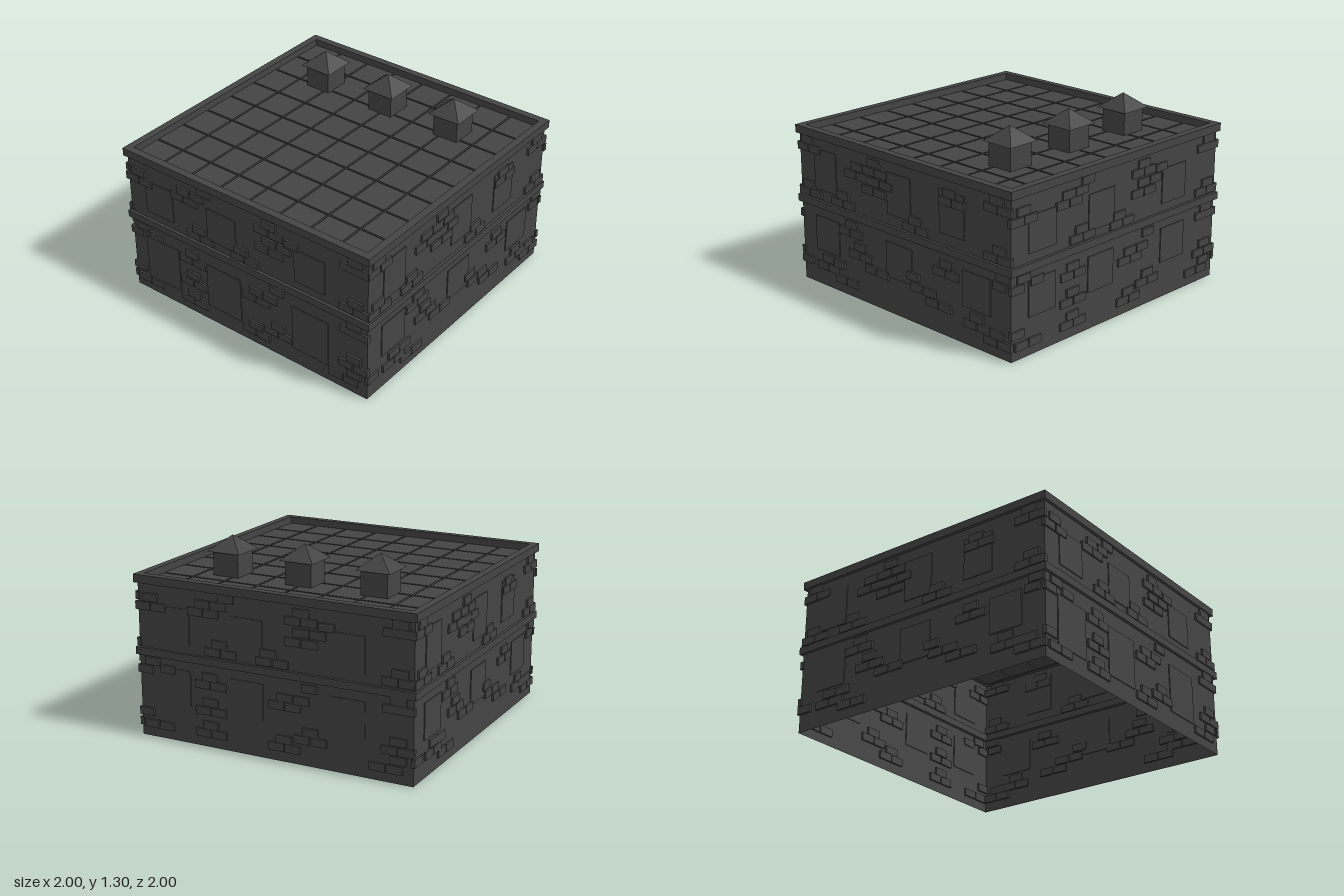
import * as THREE from 'three';

const DARK = new THREE.MeshStandardMaterial({ color: 0x444444, flatShading: true });
const SHEET = new THREE.MeshStandardMaterial({ color: 0x444444, flatShading: true, side: THREE.DoubleSide });

const WALL = 0.98, BRICK_W = 0.11, BRICK_H = 0.053, PITCH = 0.117;

// Brick courses: [centre of first brick, height, number of bricks]
const LONG_COURSES = [
  [-0.315, 1.005, 1], [-0.49, 0.95, 2], [-0.545, 0.895, 2],
  [0.22, 0.985, 1], [0.16, 0.93, 2], [0.22, 0.86, 2], [0.395, 0.92, 1], [0.16, 0.795, 2],
  [-0.885, 0.945, 1], [-0.94, 0.885, 2], [0.89, 1.005, 1], [0.83, 0.95, 2],
  [-0.37, 0.7, 1], [-0.42, 0.645, 2], [-0.015, 0.695, 1], [-0.045, 0.64, 2],
  [0.89, 0.7, 1], [0.82, 0.645, 2],
  [-0.88, 0.52, 1], [-0.765, 0.48, 1], [-0.935, 0.46, 1],
  [-0.445, 0.475, 1], [-0.5, 0.42, 2], [-0.445, 0.305, 1], [-0.5, 0.245, 2],
  [0.275, 0.51, 1], [0.1, 0.425, 2], [0.04, 0.37, 2],
  [0.28, 0.225, 1], [0.22, 0.17, 2], [-0.935, 0.17, 1], [-0.9, 0.09, 2],
  [-0.445, 0.15, 1], [-0.5, 0.095, 2], [0.09, 0.15, 1], [0.035, 0.095, 2],
  [0.88, 0.53, 1], [0.83, 0.475, 2], [0.88, 0.27, 1], [0.82, 0.21, 2], [0.88, 0.15, 1], [0.74, 0.09, 2],
];
const SIDE_COURSES = [
  [-0.89, 1.005, 1], [-0.935, 0.95, 2], [-0.23, 0.985, 1], [-0.395, 0.925, 3],
  [-0.455, 0.865, 2], [-0.23, 0.86, 2], [-0.29, 0.795, 2],
  [0.87, 1.005, 1], [0.82, 0.95, 2], [0.465, 0.95, 1], [0.43, 0.895, 2],
  [-0.89, 0.695, 1], [-0.935, 0.64, 2], [-0.545, 0.695, 1], [-0.6, 0.64, 2],
  [0.155, 0.695, 1], [0.1, 0.64, 2], [0.89, 0.695, 1], [0.82, 0.64, 2],
  [-0.465, 0.51, 1], [-0.535, 0.455, 2], [-0.385, 0.375, 1], [-0.44, 0.315, 2], [-0.28, 0.25, 2],
  [0.43, 0.48, 1], [0.37, 0.42, 2], [0.125, 0.315, 1], [0.16, 0.25, 2], [0.3, 0.19, 2],
  [-0.715, 0.205, 1], [-0.6, 0.2, 1], [-0.775, 0.145, 2], [-0.935, 0.15, 1], [-0.585, 0.095, 2],
  [0.695, 0.205, 1], [0.64, 0.15, 2], [0.87, 0.15, 1], [0.815, 0.095, 2],
  [0.92, 0.53, 1], [0.89, 0.47, 1],
];

// Panels: [centre, height, width, tallness]
const FRONT_PANELS = [-0.715, -0.18, 0.535].flatMap((u) => [[u, 0.285, 0.288, 0.33], [u, 0.78, 0.24, 0.24]]);
const BACK_PANELS = [-0.715, -0.18, 0.535].flatMap((u) => [[u, 0.37, 0.24, 0.24], [u, 0.78, 0.24, 0.24]]);
const SIDE_PANELS = [
  ...[-0.72, -0.01, 0.69].map((u) => [u, 0.37, 0.24, 0.24]),
  ...[-0.72, 0, 0.48].map((u) => [u, 0.82, 0.22, 0.28]),
];

function add(parent, name, geometry, x = 0, y = 0, z = 0, material = DARK) {
  const mesh = new THREE.Mesh(geometry, material);
  mesh.name = name;
  mesh.position.set(x, y, z);
  parent.add(mesh);
  return mesh;
}

// One facade, built facing +z
function makeWall(name, courses, panels) {
  const wall = new THREE.Group();
  wall.name = name;
  add(wall, 'wallSheet', new THREE.PlaneGeometry(WALL * 2, 1.06), 0, 0.53, WALL, SHEET);
  for (const [u, y, w, h] of panels) {
    add(wall, 'windowPanel', new THREE.BoxGeometry(w, h, 0.012), u, y, WALL);
  }
  const brick = new THREE.BoxGeometry(BRICK_W, BRICK_H, 0.028);
  for (const [u, y, n] of courses) {
    for (let i = 0; i < n; i++) {
      add(wall, 'brick', brick, Math.min(u + i * PITCH, 0.935), y, WALL);
    }
  }
  return wall;
}

// Square ring running round the building
function makeRing(outer, inner, height) {
  const square = (Type, r) => new Type([[-r, -r], [r, -r], [r, r], [-r, r]].map(([x, y]) => new THREE.Vector2(x, y)));
  const shape = square(THREE.Shape, outer);
  shape.holes.push(square(THREE.Path, inner));
  return new THREE.ExtrudeGeometry(shape, { depth: height, bevelEnabled: false }).rotateX(-Math.PI / 2);
}

export function createModel() {
  const model = new THREE.Group();
  model.name = 'brickBuilding';

  // Four facades
  const facades = [
    ['frontWall', LONG_COURSES, FRONT_PANELS],
    ['rightWall', SIDE_COURSES, SIDE_PANELS],
    ['backWall', LONG_COURSES, BACK_PANELS],
    ['leftWall', SIDE_COURSES, SIDE_PANELS],
  ];
  facades.forEach(([name, courses, panels], i) => {
    const wall = makeWall(name, courses, panels);
    wall.rotation.y = i * Math.PI / 2;
    model.add(wall);
  });

  // Storey band and parapet
  add(model, 'storeyBand', makeRing(1, 0.955, 0.05), 0, 0.555, 0);
  add(model, 'parapet', makeRing(1, 0.948, 0.055), 0, 1.035, 0);
  add(model, 'parapetInnerFace', makeRing(0.975, 0.948, 0.03), 0, 1.01, 0);

  // Tiled flat roof
  const roof = new THREE.Group();
  roof.name = 'roof';
  add(roof, 'roofSheet', new THREE.PlaneGeometry(1.95, 1.95).rotateX(-Math.PI / 2), 0, 1.03, 0, SHEET);
  const step = 0.242;
  const tile = new THREE.BoxGeometry(step - 0.014, 0.024, step - 0.014);
  for (let i = 0; i < 8; i++) {
    for (let j = 0; j < 8; j++) {
      add(roof, 'roofTile', tile, (i - 3.5) * step, 1.03, (j - 3.5) * step);
    }
  }
  model.add(roof);

  // Row of capped chimneys
  for (const x of [-0.535, 0, 0.535]) {
    const chimney = new THREE.Group();
    chimney.name = 'chimney';
    chimney.position.set(x, 0, -0.537);
    add(chimney, 'chimneyBody', new THREE.BoxGeometry(0.186, 0.17, 0.186), 0, 1.117, 0);
    add(chimney, 'chimneyCap', new THREE.ConeGeometry(0.12 * Math.SQRT2, 0.1, 4).rotateY(Math.PI / 4), 0, 1.252, 0);
    model.add(chimney);
  }
  return model;
}
